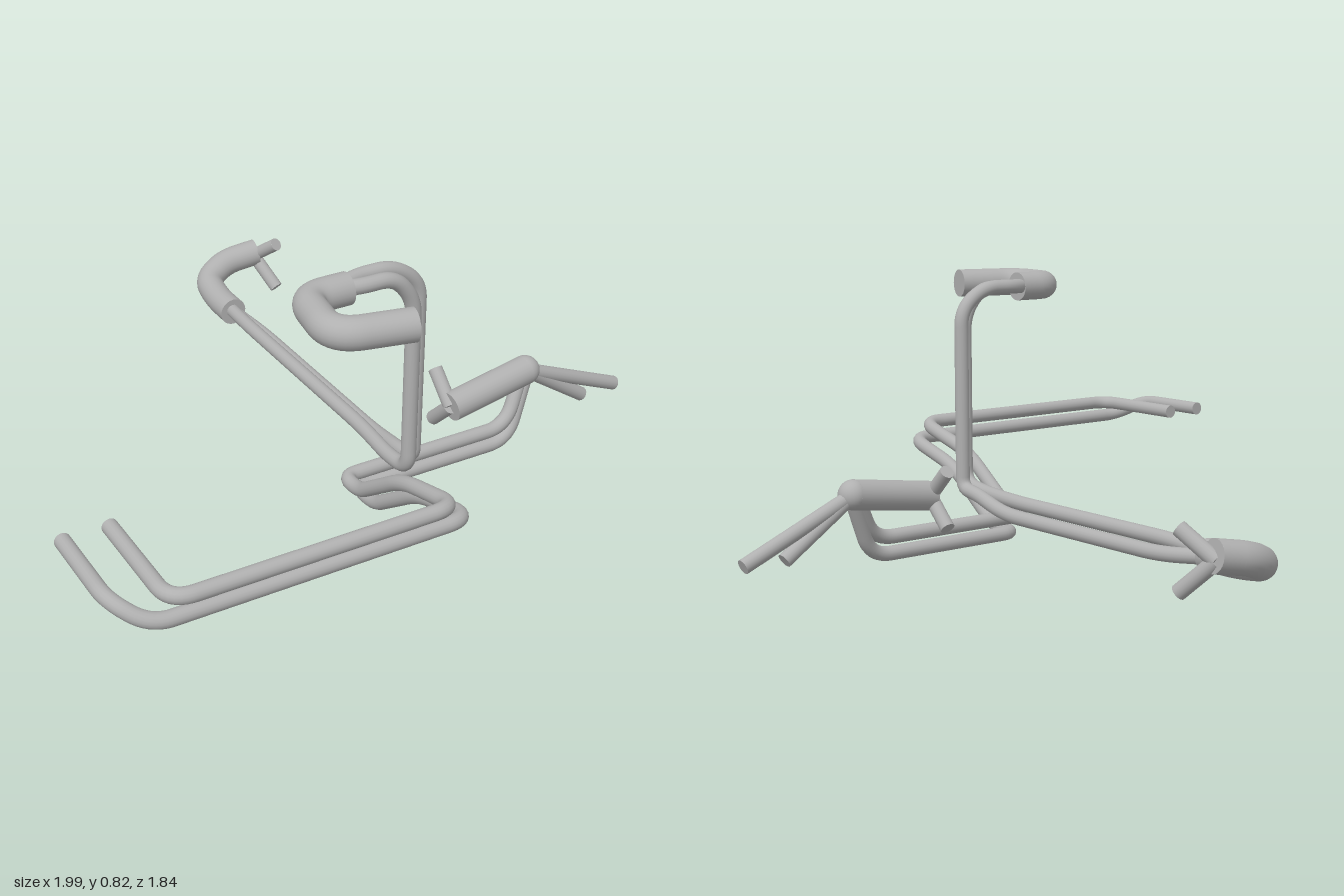
import * as THREE from 'three';

const steel = new THREE.MeshStandardMaterial({ color: 0xb0b0b0 });
steel.name = 'steel grey';

const THIN = 0.022, THICK = 0.045;

// Polyline with rounded corners: straight runs joined by quadratic bends
function bentPath(points, bend) {
  const p = points.map((a) => new THREE.Vector3(...a));
  const path = new THREE.CurvePath();
  let last = p[0];
  for (let i = 1; i < p.length - 1; i++) {
    const d = Math.min(bend, p[i].distanceTo(p[i - 1]) * 0.48, p[i].distanceTo(p[i + 1]) * 0.48);
    const a = p[i].clone().add(p[i - 1].clone().sub(p[i]).setLength(d));
    const b = p[i].clone().add(p[i + 1].clone().sub(p[i]).setLength(d));
    path.add(new THREE.LineCurve3(last, a));
    path.add(new THREE.QuadraticBezierCurve3(a, p[i], b));
    last = b;
  }
  path.add(new THREE.LineCurve3(last, p[p.length - 1]));
  return path;
}

// Pipe with a flat disc closing each end
function pipe(name, radius, points, bend = 0.07) {
  const group = new THREE.Group();
  group.name = name;
  const path = bentPath(points, bend);
  const steps = points.length > 2 ? Math.ceil(path.getLength() / 0.012) : 1;
  const sides = radius > 0.03 ? 24 : 16;
  const tube = new THREE.Mesh(new THREE.TubeGeometry(path, steps, radius, sides), steel);
  tube.name = name + 'Tube';
  group.add(tube);
  for (const t of [0, 1]) {
    const cap = new THREE.Mesh(new THREE.CircleGeometry(radius, sides), steel);
    cap.name = name + 'End';
    const at = path.getPointAt(t);
    const out = path.getTangentAt(t).multiplyScalar(t ? 1 : -1);
    cap.position.copy(at);
    cap.quaternion.setFromUnitVectors(new THREE.Vector3(0, 0, 1), out);
    group.add(cap);
  }
  return group;
}

// Rounded end of a thick sleeve
function dome(name, radius, at) {
  const mesh = new THREE.Mesh(new THREE.SphereGeometry(radius, 24, 16), steel);
  mesh.name = name;
  mesh.position.set(...at);
  return mesh;
}

export function createModel() {
  const model = new THREE.Group();
  model.name = 'pipeAssembly';

  // Pair of low pipes: from the right-hand hooks, along the front, down and across to the left
  model.add(
    pipe('outerLowPipe', THIN, [
      [-0.978, 0.305, 0.54], [-0.978, 0.305, 0.82], [-0.9, 0.255, 0.893], [0.006, 0.255, 0.893],
      [0.006, 0.19, 0.66], [0.006, 0.025, 0.435], [0.006, 0.025, 0.335],
      [0.54, 0.025, 0.335], [0.63, 0.23, 0.295],
    ]),
    pipe('innerLowPipe', THIN, [
      [-0.85, 0.305, 0.54], [-0.85, 0.305, 0.893], [-0.038, 0.305, 0.893],
      [-0.038, 0.235, 0.64], [-0.038, 0.075, 0.42], [-0.038, 0.075, 0.335],
      [0.53, 0.075, 0.335], [0.61, 0.225, 0.295],
    ]),
  );

  // Left sleeve with its two long branches and its fork
  const leftHub = [0.62, 0.225, 0.295];
  model.add(
    pipe('leftSleeve', THICK, [leftHub, [0.34, 0.185, 0.312]]),
    dome('leftSleeveDome', THICK, leftHub),
    pipe('longBranch', THIN, [leftHub, [0.985, 0.07, 0.283]]),
    pipe('shortBranch', THIN, [leftHub, [0.855, 0.068, 0.285]]),
  );
  for (const y of [0.27, 0.1]) {
    model.add(pipe('leftForkProng', THIN, [[0.342, 0.185, 0.31], [0.342, y, 0.222]]));
  }

  // Pair of tall pipes: down from the upper sleeve, then a long run to the back
  model.add(
    pipe('frontTallPipe', THIN, [
      [-0.14, 0.78, 0.495], [-0.09, 0.78, 0.505], [0.005, 0.78, 0.505], [0.068, 0.7, 0.505],
      [0.068, 0.165, 0.505], [0.07, 0.15, 0.4], [0.088, 0.147, 0.22],
      [0.088, 0.147, -0.48], [0.1, 0.138, -0.65],
    ], 0.08),
    pipe('rearTallPipe', THIN, [
      [-0.16, 0.78, 0.49], [-0.09, 0.785, 0.457], [0.03, 0.785, 0.457], [0.115, 0.72, 0.457],
      [0.115, 0.16, 0.457], [0.115, 0.15, 0.38], [0.133, 0.115, 0.22],
      [0.133, 0.115, -0.48], [0.102, 0.132, -0.65],
    ], 0.08),
  );

  // Upper hooked sleeve
  model.add(pipe('upperSleeve', THICK, [
    [-0.135, 0.78, 0.497], [-0.265, 0.78, 0.497], [-0.3, 0.78, 0.705], [-0.09, 0.78, 0.75],
  ], 0.08));

  // Rear curved sleeve and its fork
  model.add(pipe('rearSleeve', THICK, [
    [0.1, 0.135, -0.625], [0.1, 0.135, -0.74], [0.115, 0.15, -0.85],
    [0.2, 0.185, -0.885], [0.315, 0.205, -0.868],
  ], 0.09));
  for (const y of [0.265, 0.1]) {
    model.add(pipe('rearForkProng', THIN, [[0.308, 0.192, -0.872], [0.345, y, -0.775]]));
  }

  return model;
}
